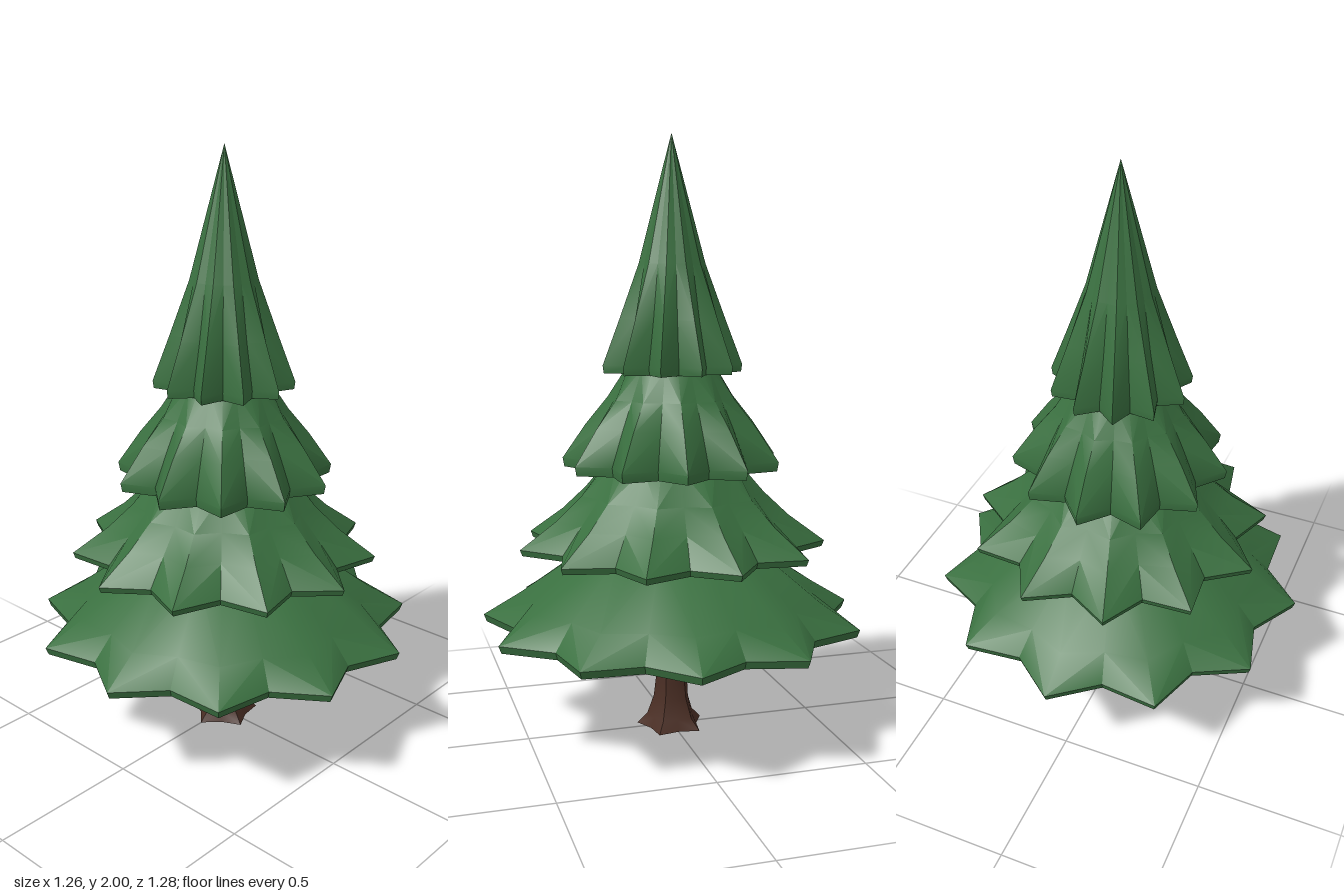
import * as THREE from 'three';
import { toCreasedNormals } from 'three/addons/utils/BufferGeometryUtils.js';

// Closed star-shaped skin: each ring is [height, tip radius, valley radius], bottom to top.
function starLoft(points, phase, rings, crease) {
  const n = points * 2;
  const pos = [];
  const corner = (ring, j) => {
    const a = phase + (j * Math.PI) / points;
    const r = j % 2 ? ring[2] : ring[1];
    return [r * Math.cos(a), ring[0], r * Math.sin(a)];
  };
  const tri = (...p) => p.forEach((v) => pos.push(...v));
  for (let i = 0; i < rings.length - 1; i++) {
    const lo = rings[i], hi = rings[i + 1];
    for (let j = 0; j < n; j++) {
      const a = corner(lo, j), b = corner(lo, j + 1);
      const c = corner(hi, j), d = corner(hi, j + 1);
      if (hi[1] === 0) tri(a, c, b);
      else if (lo[1] === 0) tri(a, c, d);
      else if (j % 2) tri(a, c, b, b, c, d); // diagonals mirrored about each tip
      else tri(a, d, b, a, c, d);
    }
  }
  const g = new THREE.BufferGeometry();
  g.setAttribute('position', new THREE.Float32BufferAttribute(pos, 3));
  return toCreasedNormals(g, crease);
}

export function createModel() {
  const group = new THREE.Group();
  const needles = new THREE.MeshStandardMaterial({ name: 'needle green', color: 0x3a7040 });
  const bark = new THREE.MeshStandardMaterial({ name: 'bark brown', color: 0x4a2e24 });

  const add = (name, geometry, material) => {
    const mesh = new THREE.Mesh(geometry, material);
    mesh.name = name;
    group.add(mesh);
  };

  // Trunk with five flared roots, one pointing forward
  add('trunk', starLoft(5, Math.PI / 2, [
    [0, 0, 0], [0, 0.12, 0.085], [0.035, 0.085, 0.07],
    [0.1, 0.062, 0.056], [0.16, 0.055, 0.053], [0.4, 0.053, 0.05], [0.4, 0, 0],
  ], 0.6), bark);

  // Branch tiers: underside height, phase, then skin rings from the rim up
  const tiers = [
    ['lowestBranches', 0.365, Math.PI,
      [[0.39, 0.645, 0.545], [0.47, 0.515, 0.475], [0.64, 0.265, 0.265], [0.72, 0, 0]]],
    ['lowerBranches', 0.63, 0,
      [[0.65, 0.518, 0.415], [0.74, 0.395, 0.345], [0.82, 0.31, 0.28], [0.925, 0.22, 0.215], [1, 0, 0]]],
    ['upperBranches', 0.905, Math.PI,
      [[0.935, 0.367, 0.288], [1.05, 0.288, 0.238], [1.14, 0.215, 0.195], [1.24, 0.15, 0.148], [1.3, 0, 0]]],
    ['treeTop', 1.225, 0,
      [[1.25, 0.235, 0.172], [1.4, 0.178, 0.138], [1.58, 0.112, 0.105], [2, 0, 0]]],
  ];
  for (const [name, base, phase, skin] of tiers) {
    const [, tip, valley] = skin[0];
    const rings = [[base, 0, 0], [base, tip * 0.985, valley * 0.985], ...skin];
    add(name, starLoft(11, phase, rings, 0.55), needles);
  }
  return group;
}
